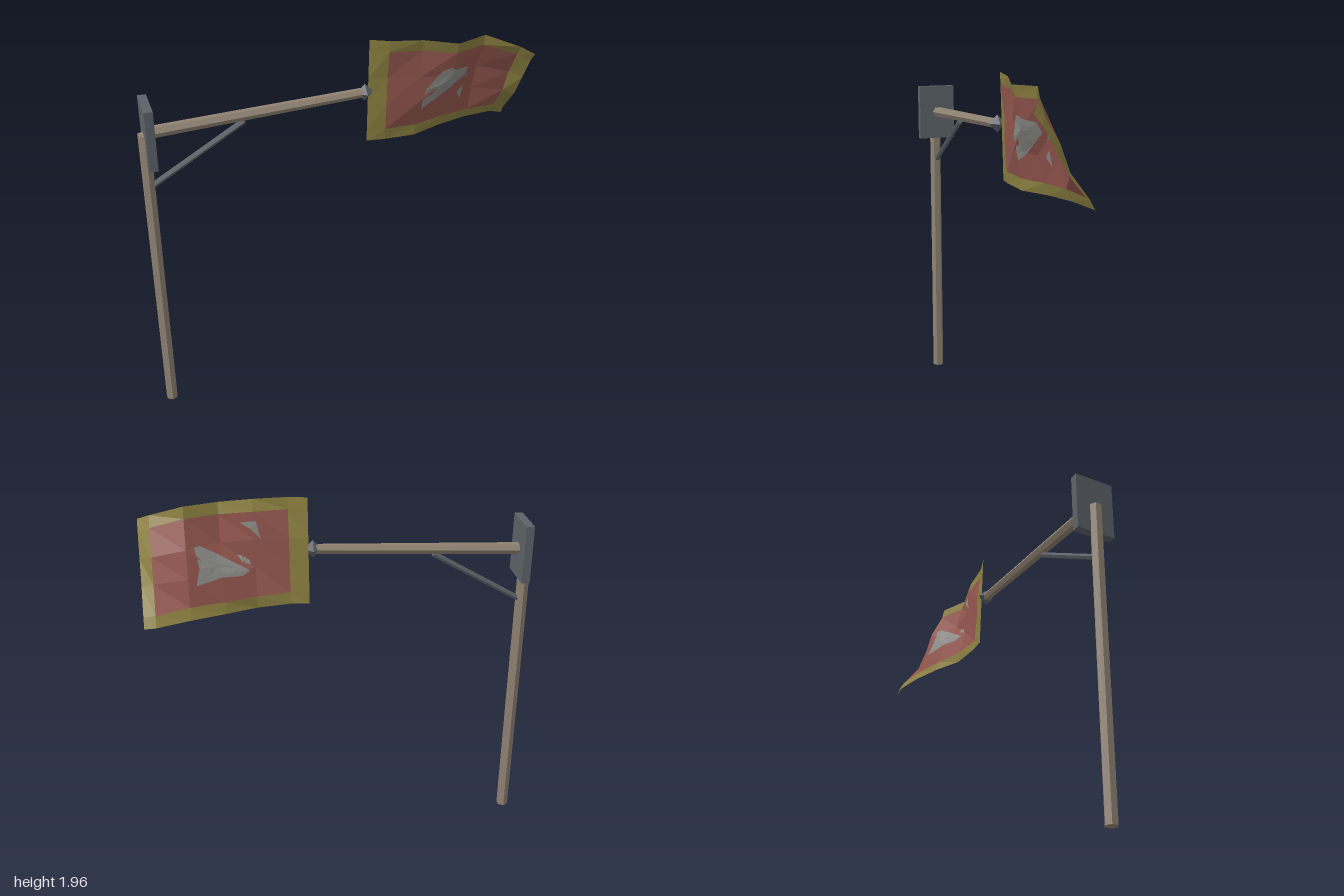
import * as THREE from 'three';

const mat = (color, side = THREE.FrontSide) =>
  new THREE.MeshStandardMaterial({ color, side, flatShading: true, roughness: 0.9 });

// Flag columns: x, then y and z of the top and bottom hems
const columns = [
  [0.165, 1.96, 0.01, 1.40, -0.01],
  [0.26, 1.955, 0.045, 1.40, 0.0],
  [0.43, 1.947, 0.065, 1.395, -0.01],
  [0.60, 1.925, 0.11, 1.40, -0.075],
  [0.77, 1.93, 0.05, 1.40, -0.125],
  [0.94, 1.87, 0.12, 1.39, -0.165],
  [1.0, 1.84, 0.16, 1.38, -0.15],
];
const rows = [0, 0.11, 0.37, 0.63, 0.89, 1];

// Cloth point at a column and row, with a diagonal ripple inside the hems
function clothPoint(i, j) {
  const [x, yt, zt, yb, zb] = columns[i], v = rows[j];
  const ripple = 0.022 * Math.sin(11 * x - 7 * v) * Math.sin(Math.PI * v) * Math.min(1, (x - 0.165) * 4);
  return [x, yb + (yt - yb) * v, zb + (zt - zb) * v + ripple];
}

// Depth of the folded cloth under a front-view position
function clothDepth(x, y) {
  let i = 0, j = 0;
  while (i < columns.length - 2 && x > columns[i + 1][0]) i++;
  const a = columns[i], b = columns[i + 1];
  const s = (x - a[0]) / (b[0] - a[0]);
  const top = a[1] + (b[1] - a[1]) * s, bottom = a[3] + (b[3] - a[3]) * s;
  const v = (y - bottom) / (top - bottom);
  while (j < rows.length - 2 && v > rows[j + 1]) j++;
  const t = (v - rows[j]) / (rows[j + 1] - rows[j]);
  const z = (di, dj) => clothPoint(i + di, j + dj)[2];
  return s > t
    ? z(0, 0) + s * (z(1, 0) - z(0, 0)) + t * (z(1, 1) - z(1, 0))
    : z(0, 0) + t * (z(0, 1) - z(0, 0)) + s * (z(1, 1) - z(0, 1));
}

function surface(name, points, material) {
  const geometry = new THREE.BufferGeometry();
  geometry.setAttribute('position', new THREE.Float32BufferAttribute(points.flat(), 3));
  geometry.computeVertexNormals();
  const mesh = new THREE.Mesh(geometry, material);
  mesh.name = name;
  return mesh;
}

// Patch lying on the cloth, made of rings shrinking to the outline's centre
function patch(name, outline, offset, material) {
  const n = outline.length, rings = 6, pts = [];
  const cx = outline.reduce((s, p) => s + p[0], 0) / n;
  const cy = outline.reduce((s, p) => s + p[1], 0) / n;
  const at = (k, r) => {
    const p = outline[k % n];
    const x = cx + (p[0] - cx) * r / rings, y = cy + (p[1] - cy) * r / rings;
    return [x, y, clothDepth(x, y) + offset];
  };
  for (let r = 0; r < rings; r++) {
    for (let k = 0; k < n; k++) {
      pts.push(at(k, r), at(k, r + 1), at(k + 1, r + 1));
      if (r) pts.push(at(k, r), at(k + 1, r + 1), at(k + 1, r));
    }
  }
  return surface(name, pts, material);
}

// Straight bar between two points
function bar(name, from, to, r0, r1, sides, material) {
  const a = new THREE.Vector3(...from), b = new THREE.Vector3(...to);
  const mesh = new THREE.Mesh(new THREE.CylinderGeometry(r1, r0, a.distanceTo(b), sides), material);
  mesh.position.copy(a).lerp(b, 0.5);
  mesh.quaternion.setFromUnitVectors(new THREE.Vector3(0, 1, 0), b.sub(a).normalize());
  mesh.name = name;
  return mesh;
}

export function createModel() {
  const model = new THREE.Group();
  model.name = 'flagOnPost';
  const wood = mat(0x8f8272), metal = mat(0x5c6268);
  const red = mat(0x93564e, THREE.DoubleSide);
  const olive = mat(0x8b7f40, THREE.DoubleSide);
  const grey = mat(0x8d8d89, THREE.DoubleSide);

  // Post, arm and brace
  model.add(bar('post', [-0.972, 0, 0.022], [-0.972, 1.625, 0.022], 0.032, 0.032, 6, wood));
  model.add(bar('arm', [-0.95, 1.627, 0.016], [0.13, 1.687, 0.016], 0.031, 0.025, 6, wood));
  model.add(bar('brace', [-0.96, 1.337, 0.018], [-0.48, 1.623, 0.018], 0.015, 0.015, 6, metal));

  // Mounting plate
  const plate = new THREE.Mesh(new THREE.BoxGeometry(0.043, 0.31, 0.21), metal);
  plate.position.set(-0.951, 1.626, 0.02);
  plate.name = 'mountingPlate';
  model.add(plate);

  // Pointed tip of the arm
  const tip = new THREE.Mesh(new THREE.OctahedronGeometry(0.046), metal);
  tip.position.set(0.142, 1.688, 0.016);
  tip.name = 'armTip';
  model.add(tip);

  // Flag cloth, split into the field and its border
  const flag = new THREE.Group();
  flag.name = 'flag';
  const field = [], border = [];
  const nc = columns.length - 1, nr = rows.length - 1;
  for (let i = 0; i < nc; i++) {
    for (let j = 0; j < nr; j++) {
      const edge = i === 0 || j === 0 || i === nc - 1 || j === nr - 1;
      const a = clothPoint(i, j), b = clothPoint(i + 1, j);
      const c = clothPoint(i + 1, j + 1), d = clothPoint(i, j + 1);
      (edge ? border : field).push(a, b, c, a, c, d);
    }
  }
  flag.add(surface('flagField', field, red), surface('flagBorder', border, olive));

  // Grey patches on the front and back of the cloth
  flag.add(
    patch('frontPatch', [[0.45, 1.55], [0.52, 1.585], [0.62, 1.65], [0.70, 1.71], [0.70, 1.76],
      [0.61, 1.77], [0.59, 1.785], [0.54, 1.77], [0.46, 1.67]], 0.005, grey),
    patch('smallFrontPatch', [[0.70, 1.55], [0.705, 1.63], [0.68, 1.61], [0.67, 1.59]], 0.005, grey),
    patch('backPatch', [[0.46, 1.59], [0.50, 1.57], [0.60, 1.58], [0.73, 1.56], [0.71, 1.64],
      [0.73, 1.74], [0.70, 1.74], [0.62, 1.69]], -0.005, grey),
    patch('smallBackPatch', [[0.40, 1.75], [0.45, 1.80], [0.50, 1.83], [0.42, 1.84]], -0.005, grey),
  );
  model.add(flag);
  return model;
}
